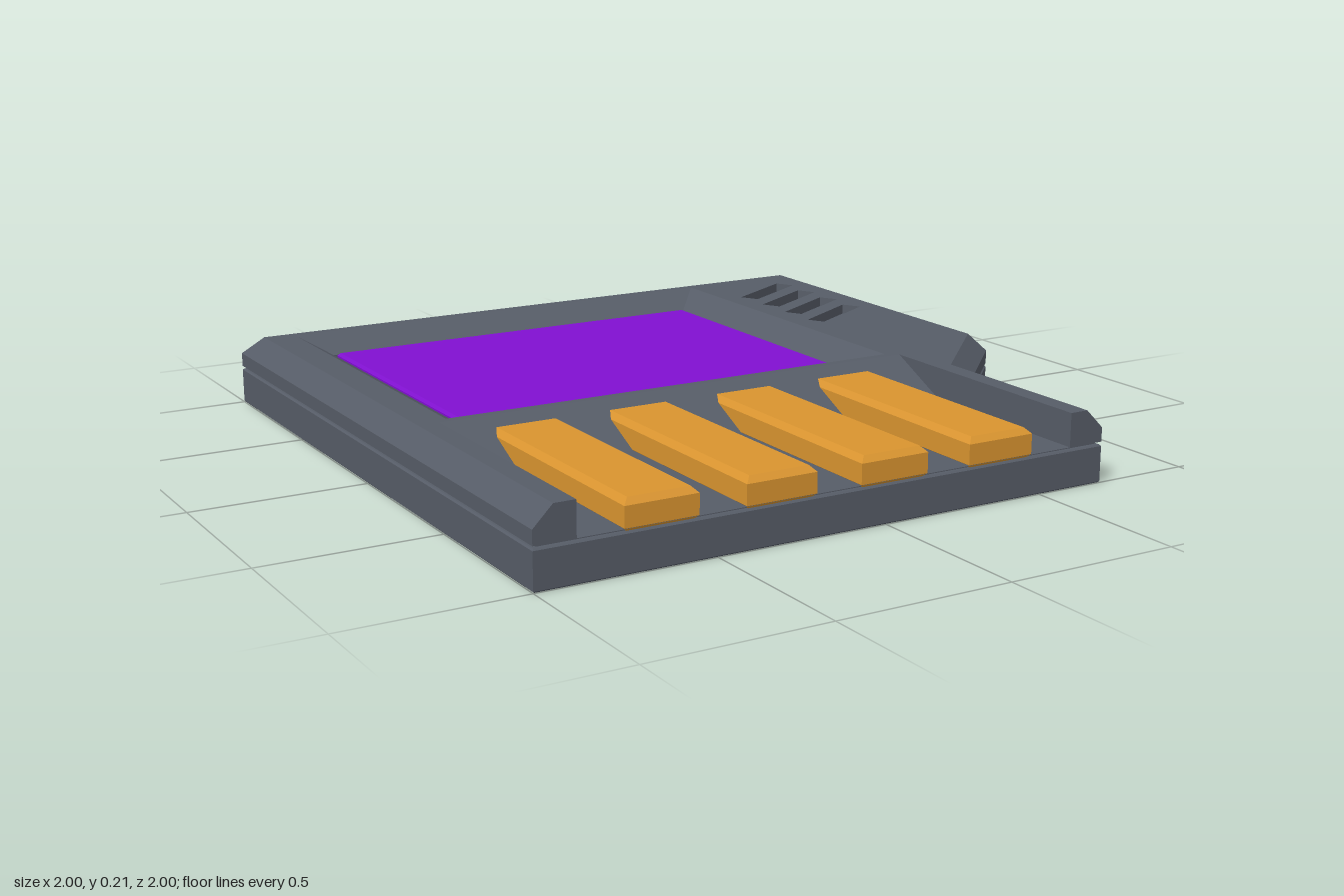
import * as THREE from 'three';

const BODY = 0x565c67, GOLD = 0xd9942f, PURPLE = 0x8010d0;
const FLOOR = 0.115, EDGE = 0.155, TOP = 0.21;

const material = (color) =>
  new THREE.MeshStandardMaterial({ color, flatShading: true, side: THREE.DoubleSide });

// Plan points are [x, z], listed clockwise as seen from above.
const toShape = (pts) => new THREE.Shape(pts.map(([x, z]) => new THREE.Vector2(x, -z)));
const rect = (x0, x1, z0, z1) => [[x0, z0], [x1, z0], [x1, z1], [x0, z1]];

// Flat horizontal sheet, optionally pierced.
function sheet(pts, y, holes = []) {
  const shape = toShape(pts);
  shape.holes = holes.map((h) => toShape(h));
  return new THREE.ShapeGeometry(shape).rotateX(-Math.PI / 2).translate(0, y, 0);
}

// Solid plate with a small bevel kept inside its outline.
function plate(pts, y0, y1, bevel) {
  return new THREE.ExtrudeGeometry(toShape(pts), {
    depth: y1 - y0 - 2 * bevel, bevelEnabled: bevel > 0, bevelSegments: 1,
    bevelSize: bevel, bevelThickness: bevel, bevelOffset: -bevel,
  }).rotateX(-Math.PI / 2).translate(0, y0 + bevel, 0);
}

// Convex polygons in space, each cut into a fan of triangles.
function faces(polys) {
  const v = [];
  for (const p of polys)
    for (let i = 1; i < p.length - 1; i++) v.push(...p[0], ...p[i], ...p[i + 1]);
  const g = new THREE.BufferGeometry();
  g.setAttribute('position', new THREE.Float32BufferAttribute(v, 3));
  g.computeVertexNormals();
  return g;
}

// Walls joining plan outline a at height ya to outline b at height yb.
function band(a, ya, b, yb, closed = true) {
  const polys = [];
  for (let i = 0; i < a.length - (closed ? 0 : 1); i++) {
    const j = (i + 1) % a.length;
    polys.push([[a[i][0], ya, a[i][1]], [b[i][0], yb, b[i][1]],
      [b[j][0], yb, b[j][1]], [a[j][0], ya, a[j][1]]]);
  }
  return faces(polys);
}

export function createModel() {
  const model = new THREE.Group();
  const bodyMat = material(BODY), goldMat = material(GOLD), screenMat = material(PURPLE);
  const add = (name, geometry, mat = bodyMat, parent = model) => {
    const mesh = new THREE.Mesh(geometry, mat);
    mesh.name = name;
    parent.add(mesh);
  };

  const outline = [[-1, 1], [-1, -1], [1, -1], [1, 0.14], [0.71, 0.43], [0.71, 1]];
  const rim = [[-0.945, 1], [-0.945, -0.945], [0.945, -0.945], [0.945, 0.117],
    [0.655, 0.407], [0.655, 1]];

  // Lower plate and the recessed seam above it
  add('basePlate', plate(outline, 0, 0.107, 0.004));
  add('seam', plate(outline.map(([x, z]) => [x * 0.985, z * 0.985]), 0.1, 0.114, 0));

  // Upper shell: underside, outer walls and chamfer
  const shell = new THREE.Group();
  shell.name = 'upperShell';
  model.add(shell);
  add('shellFloor', sheet(outline, FLOOR), bodyMat, shell);
  add('shellWall', band(outline, FLOOR, outline, EDGE, false), bodyMat, shell);
  add('shellChamfer', band(outline, EDGE, rim, TOP, false), bodyMat, shell);

  // Slanted vent slots
  const vents = [0, 1, 2, 3].map((i) => {
    const c = Math.cos(Math.PI / 6), s = Math.sin(Math.PI / 6);
    return rect(-0.13, 0.13, -0.031, 0.031)
      .map(([u, w]) => [0.757 + u * c + w * s, -0.737 + i * 0.133 - u * s + w * c]);
  });
  for (const v of vents) {
    add('ventWall', band(v, TOP, v, TOP - 0.03), bodyMat, shell);
    add('ventFloor', sheet(v, TOP - 0.03), bodyMat, shell);
  }

  // Top face, open at the front for the contact bay
  const L = -0.885, R = 0.6, back = 0.23, foot = 0.43;
  const recess = rect(-0.855, 0.565, -0.92, 0.205);
  const pocket = rect(-0.765, 0.48, -0.83, 0.115);
  add('topFace', sheet([...rim, [R, 1], [R, back], [L, back], [L, 1]], TOP,
    [recess, ...vents]), bodyMat, shell);

  // Contact bay: sloped back, side walls and the ends of the two rails
  add('contactBay', faces([
    [[L, FLOOR, foot], [R, FLOOR, foot], [R, TOP, back], [L, TOP, back]],
    [[R, FLOOR, 1], [R, TOP, 1], [R, TOP, back], [R, FLOOR, foot]],
    [[L, FLOOR, 1], [L, FLOOR, foot], [L, TOP, back], [L, TOP, 1]],
    [[R, FLOOR, 1], [0.71, FLOOR, 1], [0.71, EDGE, 1], [0.655, TOP, 1], [R, TOP, 1]],
    [[L, FLOOR, 1], [L, TOP, 1], [-0.945, TOP, 1], [-1, EDGE, 1], [-1, FLOOR, 1]],
  ]), bodyMat, shell);

  // Sloped screen frame and the screen in its pocket
  add('screenFrame', band(recess, TOP, pocket, 0.155), bodyMat, shell);
  add('screenPocketWall', band(pocket, 0.155, pocket, 0.14), bodyMat, shell);
  add('screenPocketFloor', sheet(pocket, 0.14), bodyMat, shell);
  add('screen', plate(rect(-0.757, 0.473, -0.822, 0.107), 0.141, 0.163, 0.008), screenMat);

  // Four contact strips running into the slope
  for (let i = 0; i < 4; i++) {
    const x = -0.655 + i * 0.34;
    add('contact', plate(rect(x - 0.103, x + 0.103, 0.26, 0.999), 0.1, 0.188, 0.016), goldMat);
  }
  return model;
}
